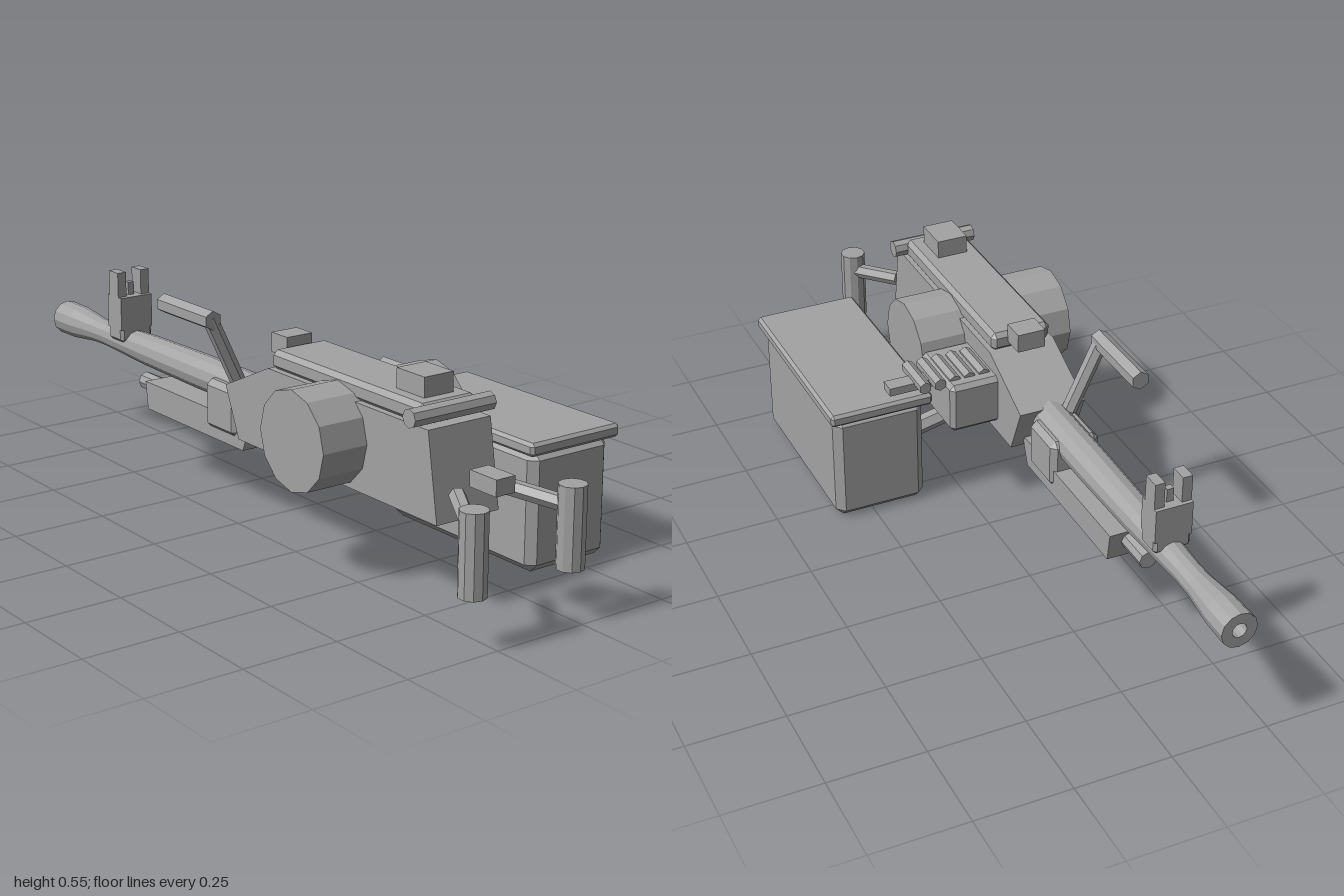
import * as THREE from 'three';
import { ConvexGeometry } from 'three/addons/geometries/ConvexGeometry.js';

const CX = -0.154; // centre line of the receiver and barrel

export function createModel() {
  const model = new THREE.Group();
  const steel = new THREE.MeshStandardMaterial({ color: 0xa3a3a3, flatShading: true });
  steel.name = 'grey steel';

  const add = (name, geometry) => {
    const mesh = new THREE.Mesh(geometry, steel);
    mesh.name = name;
    model.add(mesh);
    return mesh;
  };

  // Box given by its extents, with optional chamfered edges
  const box = (name, [x0, x1], [y0, y1], [z0, z1], c = 0) => {
    const w = x1 - x0, h = y1 - y0, d = z1 - z0;
    let g;
    if (c) {
      const pts = [];
      for (const sx of [-1, 1]) for (const sy of [-1, 1]) for (const sz of [-1, 1]) {
        const X = w / 2, Y = h / 2, Z = d / 2;
        pts.push(
          new THREE.Vector3(sx * X, sy * (Y - c), sz * (Z - c)),
          new THREE.Vector3(sx * (X - c), sy * Y, sz * (Z - c)),
          new THREE.Vector3(sx * (X - c), sy * (Y - c), sz * Z));
      }
      g = new ConvexGeometry(pts);
    } else {
      g = new THREE.BoxGeometry(w, h, d);
    }
    const mesh = add(name, g);
    mesh.position.set((x0 + x1) / 2, (y0 + y1) / 2, (z0 + z1) / 2);
    return mesh;
  };

  // Straight rod between two points
  const rod = (name, a, b, r, sides = 8) => {
    const p = new THREE.Vector3(...a), q = new THREE.Vector3(...b);
    const dir = q.clone().sub(p);
    const mesh = add(name, new THREE.CylinderGeometry(r, r, dir.length(), sides));
    mesh.position.copy(p).add(q).multiplyScalar(0.5);
    mesh.quaternion.setFromUnitVectors(new THREE.Vector3(0, 1, 0), dir.normalize());
    return mesh;
  };

  // Side profile of [z, y] points, extruded across x
  const slab = (name, profile, x0, x1) => {
    const shape = new THREE.Shape(profile.map(([z, y]) => new THREE.Vector2(z, y)));
    const g = new THREE.ExtrudeGeometry(shape, { depth: x1 - x0, bevelEnabled: false });
    g.rotateY(-Math.PI / 2);
    g.translate(x1, 0, 0);
    return add(name, g);
  };

  // Receiver, hinged cover and sight blocks
  slab('receiver', [[0.78, 0.225], [0.745, 0.44], [0.13, 0.44], [-0.055, 0.355], [0.0, 0.225]], -0.245, -0.063);
  box('topCover', [-0.236, -0.071], [0.437, 0.487], [0.13, 0.71], 0.012);
  rod('coverHinge', [-0.272, 0.463, 0.71], [-0.035, 0.463, 0.71], 0.023);
  box('rearSight', [-0.196, -0.111], [0.48, 0.536], [0.57, 0.67]);
  box('coverLatch', [-0.191, -0.115], [0.46, 0.51], [0.07, 0.135]);

  // Round side drums
  rod('sideDrum', [-0.37, 0.348, 0.4], [0.062, 0.348, 0.4], 0.125, 12);

  // Barrel with flared muzzle and bore
  const profile = [[0, 0], [0.047, 0], [0.047, 0.3], [0.043, 0.55], [0.034, 0.76], [0.035, 0.82],
    [0.046, 0.92], [0.047, 1], [0.019, 1], [0.019, 0.93], [0, 0.93]];
  const barrel = add('barrel', new THREE.LatheGeometry(profile.map((p) => new THREE.Vector2(...p)), 12));
  barrel.rotation.x = -Math.PI / 2;
  barrel.position.set(CX, 0.318, 0);

  // Front sight: collar, block, two ears and a post
  box('frontSightCollar', [-0.203, -0.105], [0.33, 0.375], [-0.69, -0.622], 0.008);
  box('frontSightBlock', [-0.203, -0.105], [0.365, 0.455], [-0.69, -0.622]);
  for (const s of [-1, 1]) {
    const x = CX + s * 0.036;
    box('frontSightEar', [x - 0.013, x + 0.013], [0.45, 0.523], [-0.68, -0.635]);
  }
  box('frontSightPost', [CX - 0.009, CX + 0.009], [0.45, 0.49], [-0.665, -0.648]);

  // Barrel clamp, lower housing and gas tube
  box('barrelClamp', [-0.222, -0.088], [0.205, 0.337], [-0.19, -0.052], 0.015);
  slab('lowerHousing', [[0.0, 0.255], [-0.49, 0.255], [-0.48, 0.18], [-0.03, 0.18]], -0.212, -0.096);
  rod('gasTube', [CX, 0.227, 0.05], [CX, 0.227, -0.58], 0.024);

  // Carrying handle
  rod('carryArm', [-0.195, 0.345, -0.067], [-0.283, 0.532, -0.067], 0.02, 6);
  rod('carryGrip', [-0.283, 0.527, -0.05], [-0.283, 0.527, -0.275], 0.025, 6);

  // Twin rear grips and trigger
  for (const s of [-1, 1]) {
    const x = CX + s * 0.143;
    rod('rearGrip', [x, 0.13, 0.966], [x, 0.33, 0.966], 0.034, 10);
    rod('rearGripArm', [CX + s * 0.063, 0.303, 0.815], [x, 0.277, 0.96], 0.02, 6);
  }
  box('trigger', [-0.182, -0.127], [0.315, 0.355], [0.815, 0.905]);

  // Feed tray with a short belt of rounds
  box('feedTray', [-0.1, 0.068], [0.255, 0.392], [0.08, 0.285], 0.012);
  box('beltLinks', [-0.06, 0.207], [0.363, 0.385], [0.155, 0.197]);
  for (let i = 0; i < 5; i++) {
    const x = -0.04 + i * 0.041;
    rod('beltRound', [x, 0.388, 0.115], [x, 0.388, 0.237], 0.017, 6);
  }

  // Ammunition box, lid and support bar
  box('ammoBox', [0.103, 0.352], [0.002, 0.306], [0.18, 0.71], 0.021);
  box('ammoBoxLid', [0.085, 0.367], [0.303, 0.337], [0.16, 0.726], 0.008);
  rod('boxSupport', [-0.045, 0.141, 0.345], [0.125, 0.103, 0.345], 0.025, 6);

  return model;
}
